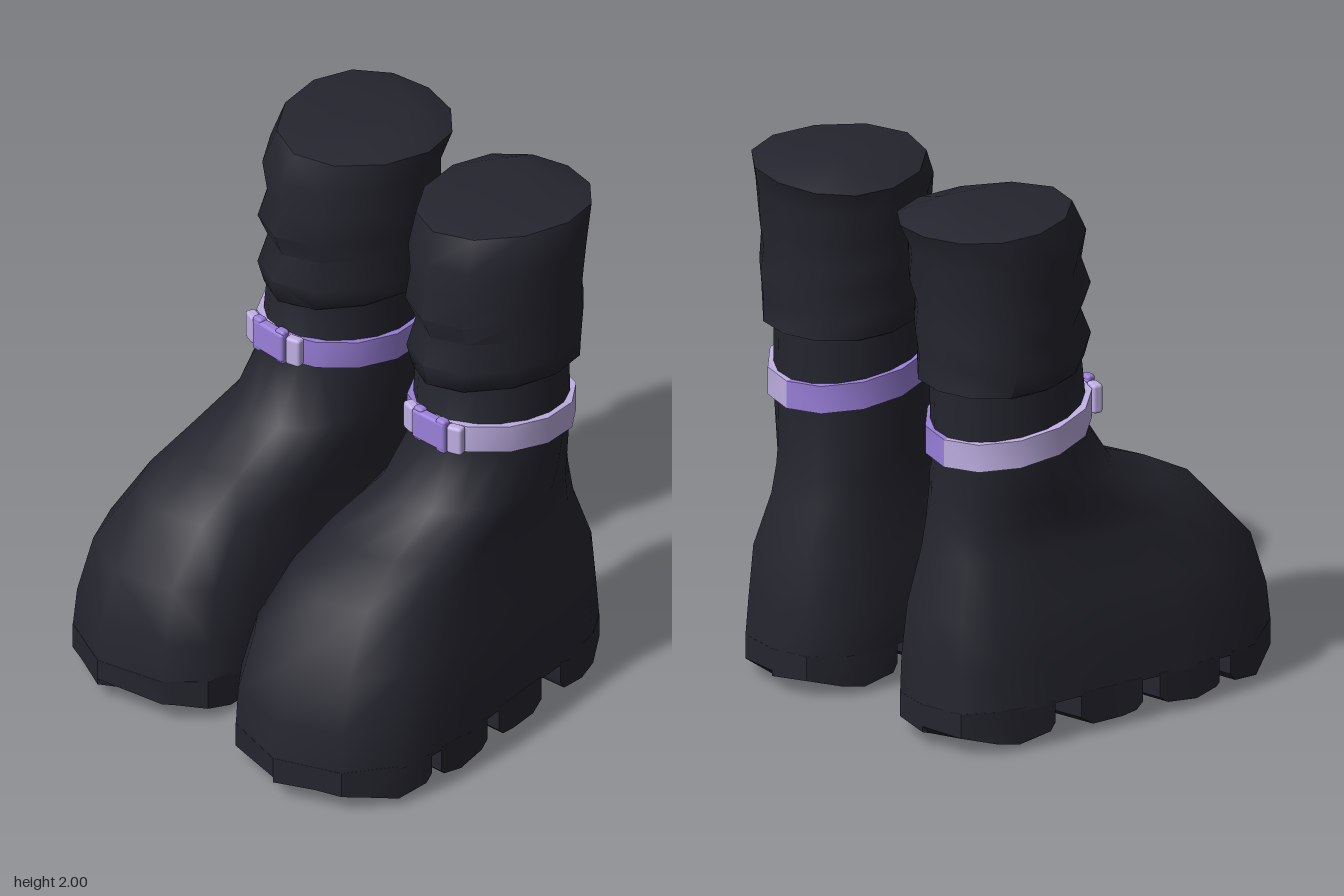
import * as THREE from 'three';
import { toCreasedNormals } from 'three/addons/utils/BufferGeometryUtils.js';
import { RoundedBoxGeometry } from 'three/addons/geometries/RoundedBoxGeometry.js';

const flat = (name, color) => {
  const m = new THREE.MeshStandardMaterial({ color });
  m.name = name;
  return m;
};

// Closed solid through a list of rings; the ends are fanned to a centre point.
// side = -1 mirrors it in x, and the winding is fixed from the signed volume.
function loft(rings, side, crease = 0.9, apex = null) {
  const tris = [];
  const n = rings[0].length;
  const centre = (r) => [0, 1, 2].map((k) => r.reduce((s, p) => s + p[k], 0) / n);
  const first = rings[0], last = rings[rings.length - 1];
  const c0 = centre(first), c1 = apex || centre(last);
  for (let j = 0; j < n; j++) {
    const k = (j + 1) % n;
    for (let i = 0; i + 1 < rings.length; i++) {
      const a = rings[i][j], b = rings[i][k], c = rings[i + 1][k], d = rings[i + 1][j];
      tris.push([a, b, c], [a, c, d]);
    }
    tris.push([c0, first[k], first[j]], [c1, last[j], last[k]]);
  }
  let volume = 0;
  const v = (p) => new THREE.Vector3(p[0] * side, p[1], p[2]);
  const corners = tris.map((t) => t.map(v));
  corners.forEach(([a, b, c]) => { volume += a.dot(b.clone().cross(c)); });
  const points = corners.flatMap(([a, b, c]) => (volume < 0 ? [a, c, b] : [a, b, c]));
  return toCreasedNormals(new THREE.BufferGeometry().setFromPoints(points), crease);
}

// Footprint [x, z]: toe, outer side, heel, inner side
const FOOT = [
  [0.45, 0.765], [0.69, 0.66], [0.80, 0.47], [0.81, 0.33], [0.79, 0.14], [0.715, -0.2],
  [0.67, -0.45], [0.61, -0.63], [0.53, -0.735], [0.37, -0.765], [0.23, -0.735], [0.14, -0.61],
  [0.10, -0.45], [0.10, -0.2], [0.07, 0.15], [0.06, 0.4], [0.08, 0.58], [0.19, 0.70],
];
const OUTER = FOOT.slice(0, 10);
const INNER = [FOOT[0], ...FOOT.slice(9).reverse()];

// x on one side of the footprint at a given z
function edgeX(chain, z) {
  for (let i = 0; i + 1 < chain.length; i++) {
    const [xa, za] = chain[i], [xb, zb] = chain[i + 1];
    if (z <= za && z >= zb) return xa + ((xb - xa) * (za - z)) / (za - zb);
  }
  return chain[chain.length - 1][0];
}

// Body levels: y, x min, x max, z min, z max, blend from footprint to ellipse
const BODY = [
  [0.15, 0.06, 0.81, -0.765, 0.765, 0],
  [0.30, 0.06, 0.80, -0.755, 0.75, 0],
  [0.50, 0.09, 0.765, -0.74, 0.69, 0],
  [0.69, 0.12, 0.69, -0.68, 0.52, 0.1],
  [0.80, 0.125, 0.66, -0.665, 0.32, 0.35],
  [0.90, 0.13, 0.645, -0.65, 0.08, 0.7],
  [1.08, 0.14, 0.635, -0.65, -0.04, 1],
  [1.36, 0.14, 0.62, -0.655, -0.065, 1],
];
const bodyRing = ([y, x0, x1, z0, z1, t]) => FOOT.map(([x, z], i) => {
  const a = (i / FOOT.length) * Math.PI * 2;
  const u = THREE.MathUtils.lerp((x - 0.435) / 0.375, Math.sin(a), t);
  const w = THREE.MathUtils.lerp(z / 0.765, Math.cos(a), t);
  return [(x0 + x1) / 2 + (u * (x1 - x0)) / 2, y, (z0 + z1) / 2 + (w * (z1 - z0)) / 2];
});

// Slouched sleeve levels: y, x min, x max, z min, z max
const SLEEVE = [
  [1.315, 0.15, 0.61, -0.64, -0.08],
  [1.335, 0.115, 0.645, -0.695, -0.04],
  [1.42, 0.095, 0.67, -0.68, -0.02],
  [1.52, 0.11, 0.65, -0.705, -0.06],
  [1.61, 0.085, 0.672, -0.68, -0.02],
  [1.71, 0.085, 0.65, -0.715, -0.05],
  [1.82, 0.07, 0.68, -0.70, -0.045],
  [1.93, 0.06, 0.655, -0.745, -0.095],
];
const sleeveRing = ([y, x0, x1, z0, z1], level) => Array.from({ length: 12 }, (_, i) => {
  const a = (i / 12) * Math.PI * 2;
  const rim = level === SLEEVE.length - 1 ? 0.015 * Math.sin(a) : 0;
  // the oval leans inward at the back and outward at the front
  return [(x0 + x1) / 2 + (Math.sin(a) * (x1 - x0)) / 2, y + rim,
    (z0 + z1) / 2 + (Math.cos(a + 0.15 * Math.sin(a)) * (z1 - z0)) / 2];
});

// Tread lugs: [z, bottom y] stations, front to back
const LUGS = [
  [[0.765, 0.065], [0.70, 0.05], [0.66, 0.045], [0.58, 0.03], [0.48, 0.01], [0.36, 0.03], [0.335, 0.06]],
  [[0.285, 0.045], [0.27, 0.03], [0.18, 0.01], [0.06, 0.025], [0.025, 0.05]],
  [[-0.045, 0.05], [-0.07, 0.025], [-0.13, 0.015], [-0.25, 0.015], [-0.30, 0.05]],
  [[-0.41, 0.06], [-0.43, 0.03], [-0.55, 0.004], [-0.63, 0.02], [-0.735, 0.05], [-0.765, 0.06]],
];
const lugRing = ([z, y]) => {
  const x0 = edgeX(INNER, z), x1 = edgeX(OUTER, z);
  return [[x0, 0.16, z], [x0, y + 0.018, z], [(x0 + x1) / 2, y - 0.004, z], [x1, y + 0.018, z], [x1, 0.16, z]];
};

// Half of the ankle strap between two angles, lower at the back
function strapRings(from, to) {
  return Array.from({ length: 7 }, (_, i) => {
    const a = THREE.MathUtils.lerp(from, to, i / 6);
    const y = 1.13 + 0.035 * Math.cos(a);
    return [[0, -0.052], [0, 0.052], [0.045, 0.052], [0.045, -0.052]].map(([inset, h]) => [
      0.387 + Math.sin(a) * (0.27 - inset), y + h, -0.352 + Math.cos(a) * (0.323 - inset)]);
  });
}

export function createModel() {
  const model = new THREE.Group();
  model.name = 'pairOfBoots';
  const black = flat('bootBlack', 0x25252f);
  const lavender = flat('lavender', 0xc0b0e4);
  const purple = flat('purple', 0x9a80da);

  for (const side of [1, -1]) {
    const boot = new THREE.Group();
    boot.name = side > 0 ? 'leftBoot' : 'rightBoot';
    const add = (name, geometry, material) => {
      const mesh = new THREE.Mesh(geometry, material);
      mesh.name = name;
      boot.add(mesh);
      return mesh;
    };

    add('bootBody', loft(BODY.map(bodyRing), side), black);
    add('sleeve', loft(SLEEVE.map(sleeveRing), side, 0.9, [0.25, 1.998, -0.55]), black);
    LUGS.forEach((lug) => add('treadLug', loft(lug.map(lugRing), side, 0.6), black));

    // Two-tone strap
    add('strapOuter', loft(strapRings(0.1, Math.PI), side), lavender);
    add('strapInner', loft(strapRings(-0.1, -Math.PI), side), purple);

    // Buckle with a frame at each end
    const box = (name, x, y, z, w, h, d, turn, material) => {
      const mesh = add(name, new RoundedBoxGeometry(w, h, d, 2, 0.012), material);
      mesh.position.set(side * x, y, z);
      mesh.rotation.y = side * turn;
    };
    box('buckle', 0.412, 1.167, -0.034, 0.16, 0.115, 0.04, 0.04, purple);
    for (const x of [0.355, 0.47]) box('buckleTab', x, 1.167, -0.036, 0.045, 0.135, 0.036, 0, purple);
    box('frameInner', 0.30, 1.165, -0.045, 0.06, 0.11, 0.04, -0.25, lavender);
    box('frameOuter', 0.52, 1.165, -0.052, 0.06, 0.11, 0.04, 0.35, lavender);

    model.add(boot);
  }
  return model;
}
